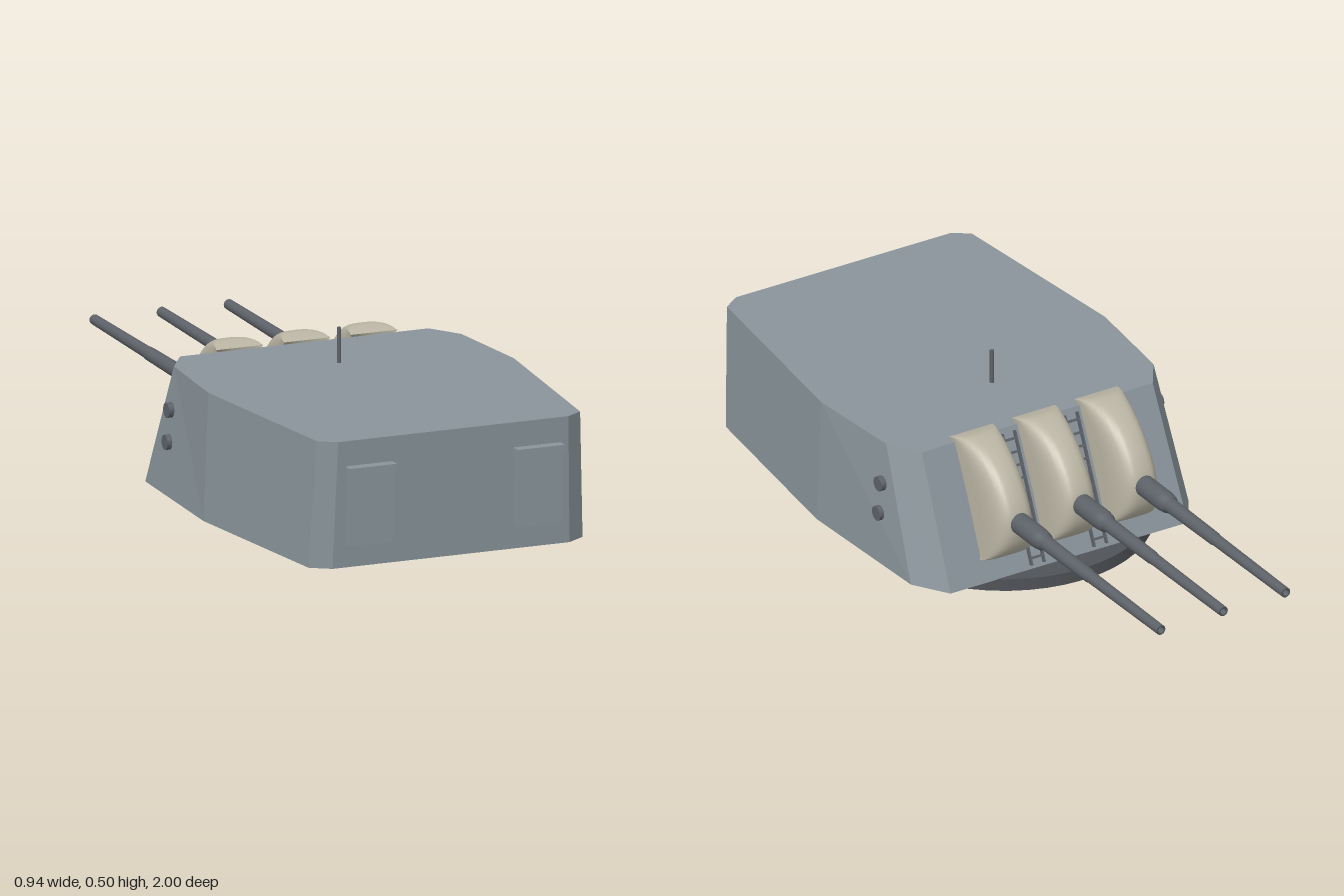
import * as THREE from 'three';

const mat = (color, extra = {}) => {
  const m = new THREE.MeshStandardMaterial(extra);
  m.color.set(color);
  return m;
};
const hullMat = mat(0x89949a, { flatShading: true });
const steelMat = mat(0x5d6268);
const baseMat = mat(0x505358);
const bagMat = mat(0xb9b4a3, { side: THREE.DoubleSide });

function add(parent, name, geometry, material, x = 0, y = 0, z = 0) {
  const mesh = new THREE.Mesh(geometry, material);
  mesh.name = name;
  mesh.position.set(x, y, z);
  parent.add(mesh);
  return mesh;
}

// Closed prism between two convex outlines; each half outline [x, z] is mirrored in x
function prism(lowerHalf, y0, upperHalf, y1) {
  const ring = (half, y) => [...half, ...half.map(([x, z]) => [-x, z]).reverse()]
    .map(([x, z]) => [x, y, z]);
  const a = ring(lowerHalf, y0), b = ring(upperHalf, y1), n = a.length, pos = [];
  const tri = (...points) => points.forEach((p) => pos.push(...p));
  for (let i = 0; i < n; i++) {
    const j = (i + 1) % n;
    tri(a[i], b[i], b[j]);
    tri(a[i], b[j], a[j]);
    if (i > 0 && i < n - 1) {
      tri(a[0], a[i], a[j]);
      tri(b[0], b[j], b[i]);
    }
  }
  const g = new THREE.BufferGeometry();
  g.setAttribute('position', new THREE.Float32BufferAttribute(pos, 3));
  g.computeVertexNormals();
  return g;
}

// Bulging canvas cover: a sheet swept along a side profile with rounded cross-sections
function blastBagGeometry() {
  const profile = new THREE.CatmullRomCurve3([
    [0.018, -0.012], [0.012, 0.03], [0, 0.055], [-0.039, 0.097], [-0.1, 0.135], [-0.176, 0.156],
    [-0.241, 0.153], [-0.305, 0.114], [-0.332, 0.055], [-0.318, -0.012],
  ].map(([y, z]) => new THREE.Vector3(0, y, z)), false, 'centripetal');
  const g = new THREE.PlaneGeometry(1, 1, 18, 28);
  const p = g.attributes.position;
  const base = -0.012;
  for (let i = 0; i < p.count; i++) {
    const s = THREE.MathUtils.clamp(0.5 - p.getY(i), 0, 1);
    const c = profile.getPoint(s);
    const angle = p.getX(i) * Math.PI;
    const across = Math.sign(angle) * Math.abs(Math.sin(angle)) ** 0.65;
    const out = Math.max(Math.cos(angle), 0) ** 0.55;
    const width = 0.069 - 0.006 * Math.sin(s * Math.PI);
    p.setXYZ(i, width * across, c.y, base + (c.z - base) * out);
  }
  g.computeVertexNormals();
  return g;
}

// Stepped gun tube along +y with a shallow bore
function barrelGeometry() {
  const points = [
    [0, -0.12], [0.03, -0.12], [0.03, 0.1], [0.027, 0.125], [0.021, 0.14], [0.019, 0.36],
    [0.017, 0.37], [0.0145, 0.73], [0.009, 0.73], [0.008, 0.68], [0, 0.68],
  ].map(([r, y]) => new THREE.Vector2(r, y));
  return new THREE.LatheGeometry(points, 20);
}

export function createModel() {
  const model = new THREE.Group();
  model.name = 'gunTurret';

  // Rotating base ring
  add(model, 'turretBase', new THREE.CylinderGeometry(0.408, 0.408, 0.036, 48), baseMat, 0, 0.018, 0.137);

  // Armoured gunhouse with a sloped gun plate
  const lower = [[0.38, -0.2], [0.445, -0.1], [0.47, 0.35], [0.408, 0.92], [0.353, 0.957]];
  const upper = [[0.37, -0.035], [0.428, 0.055], [0.455, 0.35], [0.392, 0.94], [0.343, 0.972]];
  add(model, 'gunhouse', prism(lower, 0.035, upper, 0.395), hullMat);

  // Frame lying on the sloped plate: y runs up the slope, z points out of it
  const plate = new THREE.Group();
  plate.name = 'gunPlateFittings';
  plate.position.set(0, 0.395, -0.035);
  plate.rotation.set(-Math.atan2(0.165, 0.36), Math.PI, 0, 'YXZ');
  model.add(plate);

  // Three guns with their covers
  const bag = blastBagGeometry();
  const barrel = barrelGeometry();
  for (const x of [-0.2, 0, 0.2]) {
    add(plate, 'blastBag', bag, bagMat, x);
    const gun = add(model, 'gunBarrel', barrel, steelMat, x, 0.235, -0.27);
    gun.rotation.x = -Math.PI / 2 + 0.016;
  }

  // Ladders between the guns
  const rail = new THREE.BoxGeometry(0.005, 0.37, 0.012);
  const rung = new THREE.BoxGeometry(0.04, 0.006, 0.008);
  for (const x of [-0.1, 0.1]) {
    const ladder = new THREE.Group();
    ladder.name = 'ladder';
    ladder.position.set(x, -0.2, 0.006);
    plate.add(ladder);
    for (const side of [-1, 1]) add(ladder, 'ladderRail', rail, steelMat, side * 0.02);
    for (let i = 0; i < 10; i++) add(ladder, 'ladderRung', rung, steelMat, 0, -0.165 + i * 0.0367, 0.003);
  }

  // Rear doors with hoods, and side ports
  for (const side of [-1, 1]) {
    add(model, 'rearDoor', new THREE.BoxGeometry(0.13, 0.21, 0.035), hullMat, side * 0.25, 0.205, 0.967);
    add(model, 'doorHood', new THREE.BoxGeometry(0.14, 0.023, 0.045), hullMat, side * 0.25, 0.312, 0.9775);
    for (const [y, x] of [[0.185, 0.442], [0.275, 0.437]]) {
      const port = add(model, 'sidePort', new THREE.CylinderGeometry(0.021, 0.021, 0.032, 20), steelMat, side * x, y, 0.06);
      port.rotation.z = Math.PI / 2;
    }
  }

  // Roof mast
  add(model, 'roofMast', new THREE.CylinderGeometry(0.006, 0.006, 0.1, 12), steelMat, 0, 0.445, 0.2);

  return model;
}
